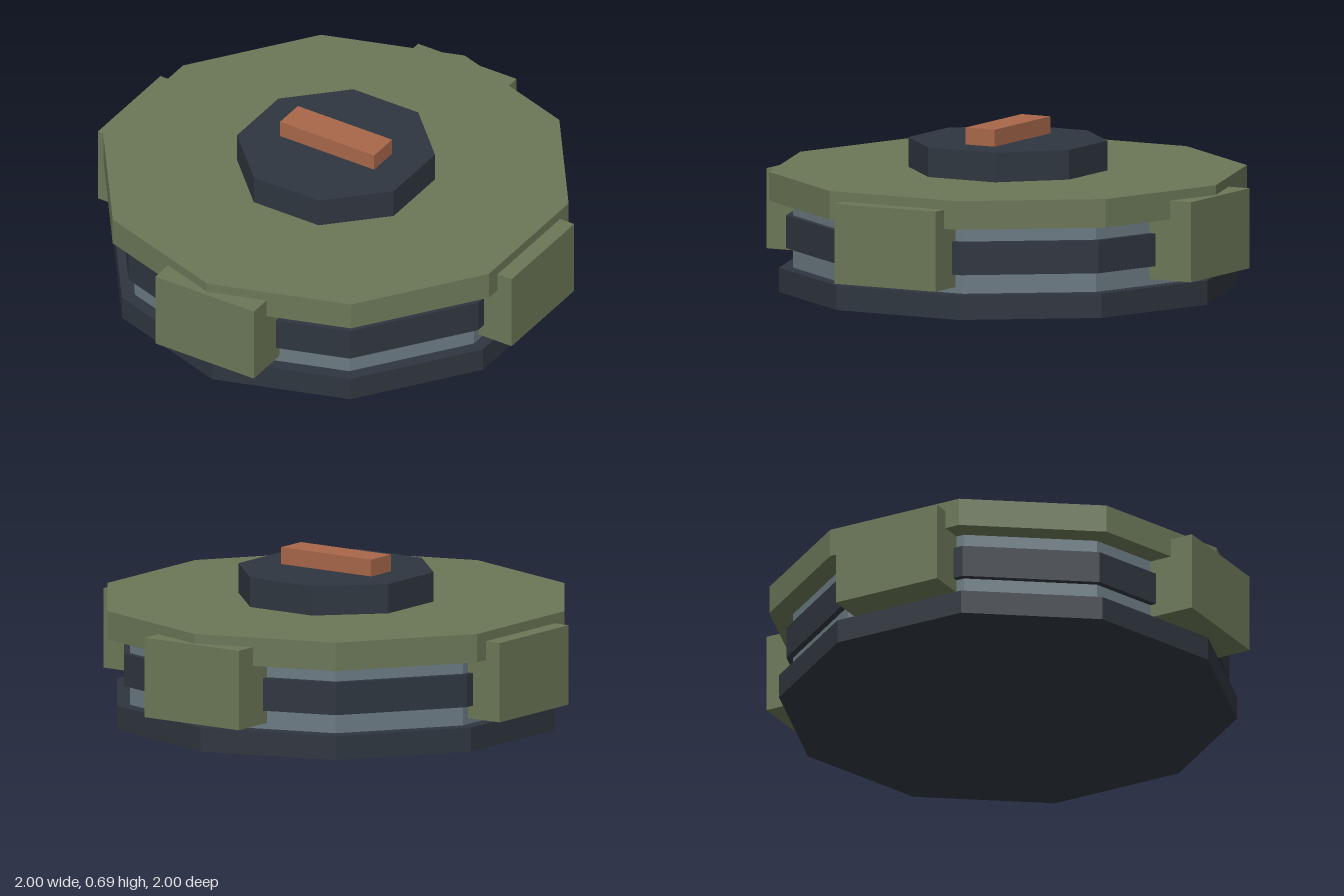
import * as THREE from 'three';

function flat(name, color) {
  const m = new THREE.MeshStandardMaterial({ color, flatShading: true });
  m.name = name;
  return m;
}

export function createModel() {
  const model = new THREE.Group();
  model.name = 'roundDevice';

  const olive = flat('olive', 0x6b7757);
  const charcoal = flat('charcoal', 0x2f363f);
  const steel = flat('steel', 0x6a7a82);
  const copper = flat('copper', 0xa8674a);

  function add(name, geometry, material, x, y, z) {
    const mesh = new THREE.Mesh(geometry, material);
    mesh.name = name;
    mesh.position.set(x, y, z);
    model.add(mesh);
    return mesh;
  }

  // A faceted disc standing between two heights
  function disc(name, radius, y0, y1, sides, material) {
    const geometry = new THREE.CylinderGeometry(radius, radius, y1 - y0, sides);
    return add(name, geometry, material, 0, (y0 + y1) / 2, 0);
  }

  // Stacked ten-sided body
  disc('basePlate', 0.94, 0, 0.1, 10, charcoal);
  disc('core', 0.883, 0.1, 0.377, 10, steel);
  disc('middleBand', 0.91, 0.18, 0.315, 10, charcoal);
  disc('topPlate', 0.98, 0.377, 0.495, 10, olive);

  // Eight-sided hub with a flat towards the front
  disc('hub', 0.41, 0.495, 0.617, 8, charcoal).rotation.y = Math.PI / 8;

  // Grip bar on the hub
  add('gripBar', new THREE.BoxGeometry(0.455, 0.07, 0.136), copper, 0, 0.652, 0);

  // Four clamps around the rim
  const clampGeometry = new THREE.BoxGeometry(0.476, 0.33, 0.2);
  ['front', 'left', 'back', 'right'].forEach((side, i) => {
    const a = (i * Math.PI) / 2;
    const clamp = add(side + 'Clamp', clampGeometry, olive, Math.sin(a) * 0.9, 0.29, Math.cos(a) * 0.9);
    clamp.rotation.y = a;
  });

  return model;
}
